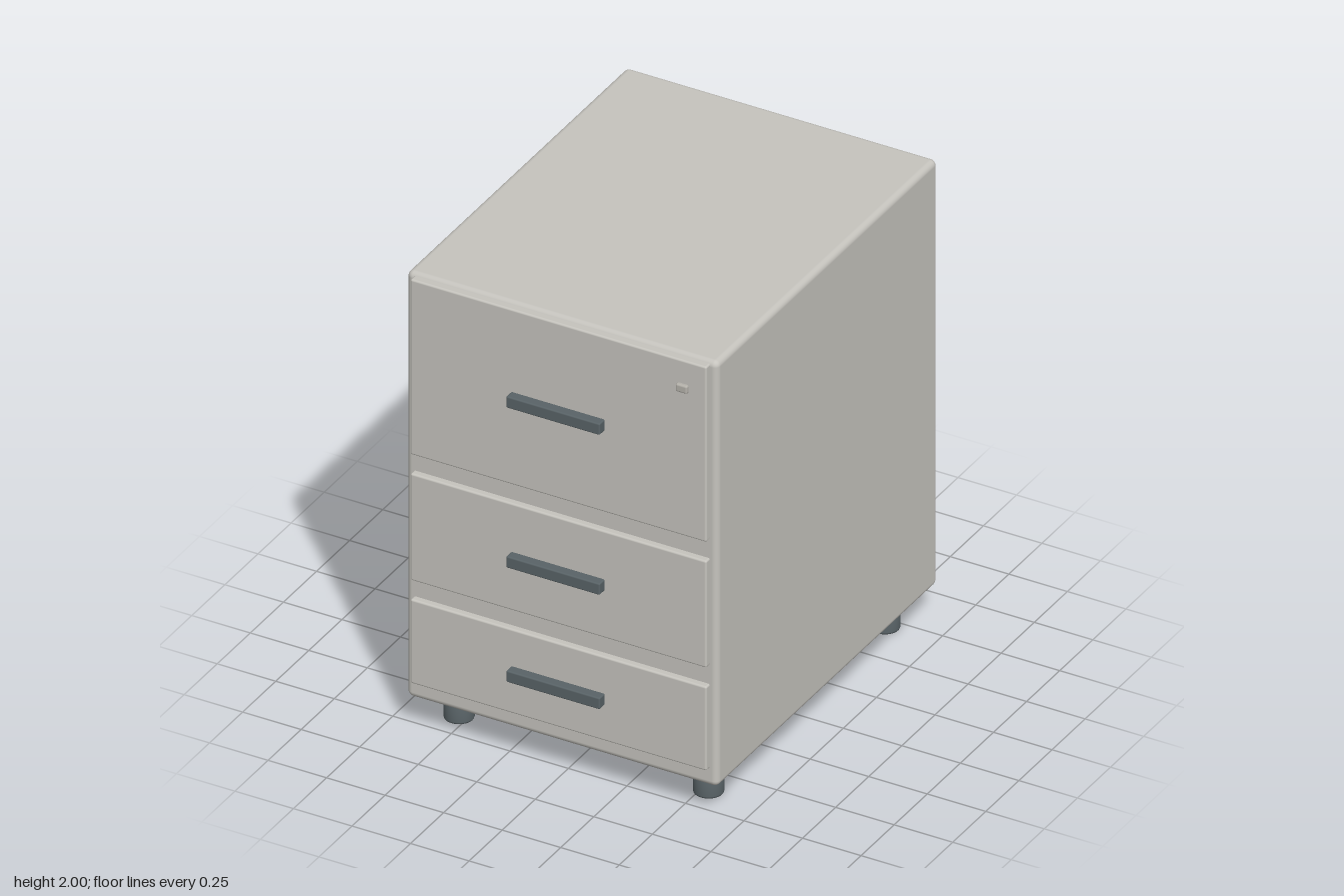
import * as THREE from 'three';
import { RoundedBoxGeometry } from 'three/addons/geometries/RoundedBoxGeometry.js';

export function createModel() {
  const model = new THREE.Group();
  model.name = 'drawerCabinet';

  const material = (name, color) => {
    const m = new THREE.MeshStandardMaterial({ color });
    m.name = name;
    return m;
  };
  const panelGrey = material('warm grey', 0xc6c4be);
  const darkGrey = material('slate grey', 0x596367);
  const lockMetal = material('lock metal', 0xb4b1aa);

  // Rounded box given by its centre and size
  const box = (name, mat, [w, h, d], [x, y, z], radius) => {
    const mesh = new THREE.Mesh(new RoundedBoxGeometry(w, h, d, 3, radius), mat);
    mesh.name = name;
    mesh.position.set(x, y, z);
    model.add(mesh);
  };

  // Cabinet body
  box('cabinetBody', panelGrey, [1.33, 1.86, 1.665], [0, 1.07, -0.0325], 0.025);

  // Drawer fronts with bar handles
  const drawers = [
    { name: 'top', bottom: 1.222, top: 1.988 },
    { name: 'middle', bottom: 0.672, top: 1.139 },
    { name: 'bottom', bottom: 0.222, top: 0.589 },
  ];
  for (const { name, bottom, top } of drawers) {
    const y = (bottom + top) / 2;
    box(`${name}DrawerFront`, panelGrey, [1.265, top - bottom, 0.04], [0, y, 0.807], 0.008);
    box(`${name}DrawerHandle`, darkGrey, [0.4, 0.05, 0.042], [0, y, 0.847], 0.006);
  }

  // Lock on the top drawer
  box('lock', lockMetal, [0.05, 0.035, 0.03], [0.532, 1.87, 0.826], 0.008);

  // Four round feet, with softened rims
  const r = 0.059;
  const footProfile = [
    [0, 0], [r - 0.008, 0], [r - 0.002, 0.003], [r, 0.01], [r, 0.15], [0, 0.15],
  ].map(([x, y]) => new THREE.Vector2(x, y));
  const footGeometry = new THREE.LatheGeometry(footProfile, 32);
  for (const [end, z] of [['front', 0.633], ['back', -0.698]]) {
    for (const [side, x] of [['Left', 0.533], ['Right', -0.533]]) {
      const foot = new THREE.Mesh(footGeometry, darkGrey);
      foot.name = `${end}${side}Foot`;
      foot.position.set(x, 0, z);
      model.add(foot);
    }
  }

  return model;
}
